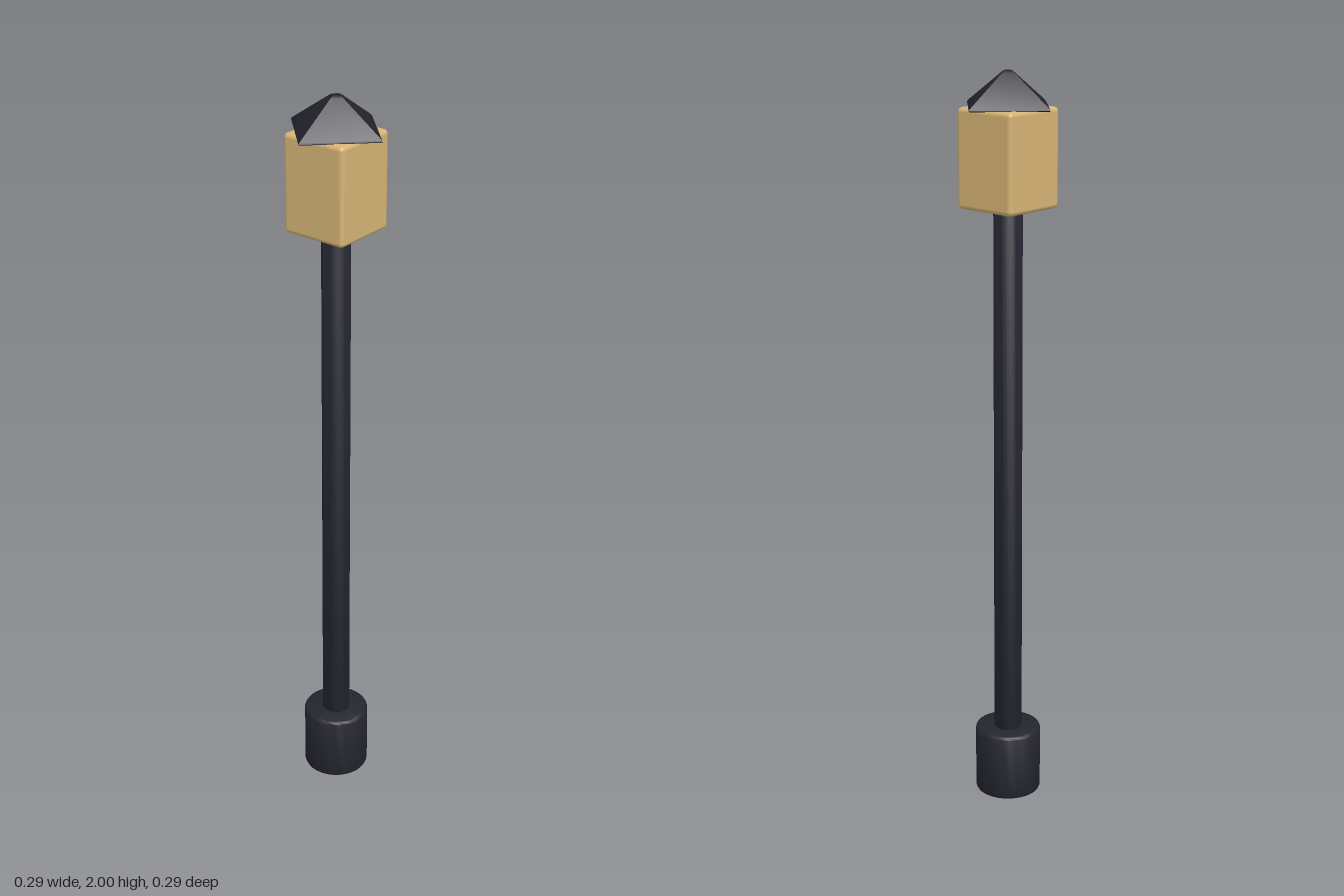
import * as THREE from 'three';
import { RoundedBoxGeometry } from 'three/addons/geometries/RoundedBoxGeometry.js';
import { toCreasedNormals } from 'three/addons/utils/BufferGeometryUtils.js';

const darkMetal = new THREE.MeshStandardMaterial({ color: 0x252530 });
darkMetal.name = 'dark metal';
const warmGlass = new THREE.MeshStandardMaterial({ color: 0xd6b475 });
warmGlass.name = 'warm glass';

// Turned solid from [radius, height] pairs, listed bottom to top
function turned(name, profile, sides, crease) {
  const points = profile.map(([r, y]) => new THREE.Vector2(r, y));
  const geometry = toCreasedNormals(new THREE.LatheGeometry(points, sides), crease);
  const mesh = new THREE.Mesh(geometry, darkMetal);
  mesh.name = name;
  return mesh;
}

// Closed cylinder profile with softened rims
function softCylinder(radius, bottom, top, bevel) {
  const b = bevel * 0.3;
  return [
    [0, bottom], [radius - bevel, bottom], [radius - b, bottom + b], [radius, bottom + bevel],
    [radius, top - bevel], [radius - b, top - b], [radius - bevel, top], [0, top],
  ];
}

export function createModel() {
  const model = new THREE.Group();
  model.name = 'lampPost';

  // Foot and pole
  model.add(turned('base', softCylinder(0.09, 0, 0.19, 0.008), 32, 0.9));
  model.add(turned('pole', softCylinder(0.038, 0.17, 1.64, 0.004), 24, 0.9));

  // Lamp housing, floating just above the pole
  const lamp = new THREE.Mesh(new RoundedBoxGeometry(0.186, 0.258, 0.186, 4, 0.012), warmGlass);
  lamp.name = 'lantern';
  lamp.position.y = 1.779;
  model.add(lamp);

  // Four-sided roof with corners on the axes and a blunted tip
  model.add(turned('roof', [
    [0, 1.907], [0.14, 1.907], [0.143, 1.909], [0.141, 1.913],
    [0.024, 1.992], [0.016, 1.997], [0.008, 1.9995], [0, 2],
  ], 4, 0.6));

  return model;
}
